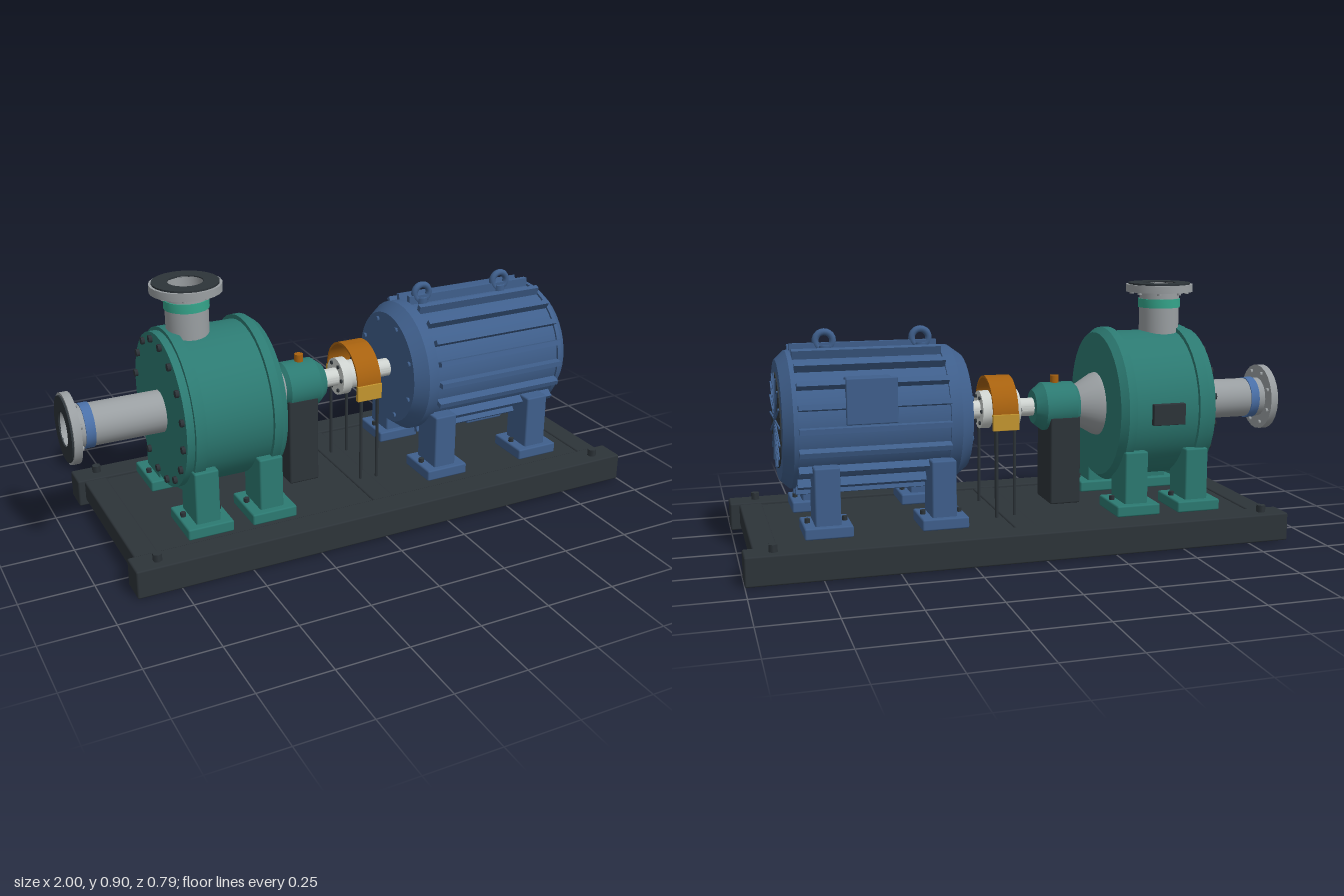
import * as THREE from 'three';
import { toCreasedNormals } from 'three/addons/utils/BufferGeometryUtils.js';
import { RoundedBoxGeometry } from 'three/addons/geometries/RoundedBoxGeometry.js';

const AXIS = 0.46; // height of the shaft line

export function createModel() {
  const root = new THREE.Group();
  root.name = 'pumpSet';
  const mat = (name, color) => {
    const m = new THREE.MeshStandardMaterial({ color });
    m.name = name;
    return m;
  };
  const teal = mat('pumpTeal', 0x2c7a72), blue = mat('motorBlue', 0x3f5f8c), dark = mat('darkSteel', 0x2d3439),
    grey = mat('pipeGrey', 0x9a9fa2), pale = mat('shaftSteel', 0xcdd2cf), orange = mat('guardOrange', 0xa8620f),
    yellow = mat('bracketYellow', 0xc4962f), mint = mat('bandGreen', 0x35a58b), bandBlue = mat('bandBlue', 0x4a70a8);

  const add = (name, geo, material, x = 0, y = 0, z = 0, parent = root) => {
    const m = new THREE.Mesh(geo, material);
    m.name = name;
    m.position.set(x, y, z);
    parent.add(m);
    return m;
  };
  // box given by its extents, with slightly softened edges
  const box = (name, material, [x0, x1], [y0, y1], [z0, z1], r = 0.006) =>
    add(name, new RoundedBoxGeometry(x1 - x0, y1 - y0, z1 - z0, 1, r), material,
      (x0 + x1) / 2, (y0 + y1) / 2, (z0 + z1) / 2);
  // turned part: profile pairs are [position along axis, radius]
  const turned = (profile, seg = 36) => toCreasedNormals(
    new THREE.LatheGeometry(profile.map(([a, r]) => new THREE.Vector2(r, a)), seg), 0.5);
  const alongX = (name, material, profile, seg) =>
    add(name, turned(profile, seg).rotateZ(-Math.PI / 2), material, 0, AXIS, 0);
  const rod = (a, b, r) => [[a, 0], [a, r], [b, r], [b, 0]];
  const ring = (a, b, r, hole) => [[a, hole], [a, r], [b, r], [b, hole], [a, hole]];
  // circle of bolts about the shaft line
  const boltCircle = (name, material, n, radius, x, len, r) => {
    for (let i = 0; i < n; i++) {
      const t = (i + 0.5) / n * Math.PI * 2;
      add(name, new THREE.CylinderGeometry(r, r, len, 6).rotateZ(Math.PI / 2), material,
        x, AXIS + radius * Math.cos(t), radius * Math.sin(t));
    }
  };

  // base frame
  for (const s of [-1, 1]) {
    box('baseRail', dark, [-0.9, 1], [0, 0.1], s > 0 ? [0.295, 0.395] : [-0.395, -0.295]);
    for (const x of [-0.815, 0.905])
      add('anchorBolt', new THREE.CylinderGeometry(0.016, 0.016, 0.025, 6), dark, x, 0.1125, s * 0.35);
  }
  for (const x of [-0.875, 0, 0.885])
    box('crossMember', dark, [x, x + 0.082], [0.02, 0.095], [-0.3, 0.3]);
  box('deckPlate', dark, [-0.8, 0.9], [0.076, 0.09], [-0.3, 0.3], 0.002);

  // feet for pump and motor
  const foot = (name, material, x, half, z0, z1, padZ, top) => {
    for (const s of [-1, 1]) {
      const zs = (a, b) => (s > 0 ? [a, b] : [-b, -a]);
      box(name + 'Pad', material, [x - 0.081, x + 0.081], [0.1, 0.14], zs(0.1, padZ));
      box(name + 'Pedestal', material, [x - half, x + half], [0.13, top], zs(z0, z1));
      for (const d of [-0.063, 0.063])
        add(name + 'Bolt', new THREE.CylinderGeometry(0.01, 0.01, 0.015, 6), dark, x + d, 0.147, s * 0.182);
    }
  };
  for (const x of [-0.603, -0.373]) foot('pumpFoot', teal, x, 0.043, 0.12, 0.26, 0.285, 0.325);
  for (const x of [0.319, 0.713]) foot('motorFoot', blue, x, 0.043, 0.12, 0.245, 0.265, 0.335);

  // pump casing
  alongX('pumpCasing', teal, [[-0.667, 0], [-0.667, 0.268], [-0.64, 0.268], [-0.64, 0.281], [-0.602, 0.281],
    [-0.602, 0.266], [-0.365, 0.266], [-0.365, 0.281], [-0.335, 0.281], [-0.31, 0.262], [-0.31, 0]], 40);
  boltCircle('casingBolt', dark, 16, 0.245, -0.67, 0.018, 0.013);
  box('casingPlate', dark, [-0.545, -0.425], [0.42, 0.495], [-0.283, -0.255], 0.002);
  alongX('adapterCone', grey, [[-0.315, 0], [-0.315, 0.117], [-0.295, 0.112], [-0.215, 0.065], [-0.215, 0]]);
  alongX('bearingHousing', teal, [[-0.232, 0], [-0.232, 0.07], [-0.215, 0.087], [-0.1, 0.087], [-0.066, 0.06], [-0.066, 0]]);
  add('oilCap', new THREE.CylinderGeometry(0.016, 0.016, 0.035, 12), orange, -0.15, 0.555, 0);
  box('bearingPedestal', dark, [-0.225, -0.112], [0.11, 0.43], [-0.081, 0.081]);

  // pipe with flange, flange face at the top of its own y axis
  const pipe = (name, length, bandAt, bandMaterial) => {
    const g = new THREE.Group();
    g.name = name;
    const part = (n, m, p) => add(n, turned(p, 24), m, 0, 0, 0, g);
    part(name + 'Tube', grey, ring(-length, -0.004, 0.073, 0.06));
    part(name + 'Flange', grey, ring(-0.033, -0.006, 0.122, 0.06));
    part(name + 'Gasket', dark, ring(-0.006, 0, 0.113, 0.06));
    part(name + 'Band', bandMaterial, ring(bandAt - 0.016, bandAt + 0.016, 0.077, 0.07));
    for (let i = 0; i < 8; i++) {
      const t = (i + 0.5) / 8 * Math.PI * 2;
      add(name + 'Bolt', new THREE.CylinderGeometry(0.008, 0.008, 0.012, 6), grey,
        0.1 * Math.cos(t), -0.036, 0.1 * Math.sin(t), g);
    }
    root.add(g);
    return g;
  };
  pipe('dischargePipe', 0.2, -0.074, mint).position.set(-0.555, 0.9, 0);
  const suction = pipe('suctionPipe', 0.34, -0.074, bandBlue);
  suction.position.set(-1, AXIS - 0.005, 0);
  suction.rotation.z = Math.PI / 2;

  // shaft and coupling
  alongX('shaft', pale, rod(-0.08, 0.23, 0.033), 24);
  alongX('coupling', pale, [[-0.005, 0], [-0.005, 0.068], [0.03, 0.068], [0.03, 0.052],
    [0.1, 0.052], [0.1, 0.068], [0.135, 0.068], [0.135, 0]], 24);
  for (const x of [-0.005, 0.135]) boltCircle('couplingBolt', dark, 6, 0.052, x, 0.012, 0.007);

  // coupling guard
  const arch = new THREE.Shape();
  arch.absarc(0, 0, 0.126, 0, Math.PI, false);
  arch.absarc(0, 0, 0.118, Math.PI, 0, true);
  add('couplingGuard', toCreasedNormals(new THREE.ExtrudeGeometry(arch,
    { depth: 0.092, bevelEnabled: false, curveSegments: 20 }), 0.5).rotateY(Math.PI / 2), orange, 0.022, AXIS - 0.005, 0);
  for (const s of [-1, 1]) {
    box('guardBracket', yellow, [0.02, 0.116], [0.402, 0.46], s > 0 ? [0.114, 0.13] : [-0.13, -0.114], 0.002);
    for (const x of [0.037, 0.102])
      add('guardLeg', new THREE.CylinderGeometry(0.006, 0.006, 0.33, 8), dark, x, 0.255, s * 0.122);
  }

  // motor body and cooling fins
  alongX('motorBody', blue, [[0.205, 0], [0.205, 0.205], [0.25, 0.238], [0.29, 0.238], [0.29, 0.23],
    [0.8, 0.23], [0.8, 0.238], [0.815, 0.238], [0.848, 0.207], [0.848, 0]], 40);
  boltCircle('motorEndBolt', blue, 8, 0.18, 0.204, 0.014, 0.01);
  for (let i = 0; i < 20; i++) {
    const t = i / 20 * Math.PI * 2;
    const fin = add('coolingFin', new THREE.BoxGeometry(0.51, 0.05, 0.018), blue,
      0.545, AXIS + 0.235 * Math.cos(t), 0.235 * Math.sin(t));
    fin.rotation.x = t;
  }
  // fan grille
  alongX('fanGrille', dark, rod(0.84, 0.852, 0.164), 36);
  for (let i = 0; i < 8; i++) {
    const bar = add('grilleBar', new THREE.BoxGeometry(0.008, 0.326, 0.006), blue, 0.853, AXIS, 0);
    bar.rotation.x = i / 8 * Math.PI;
  }
  // lifting eyes
  for (const x of [0.345, 0.68]) {
    add('liftingEye', new THREE.TorusGeometry(0.03, 0.012, 10, 20), blue, x, 0.727, 0);
    add('liftingEyeBase', new THREE.CylinderGeometry(0.022, 0.022, 0.03, 12), blue, x, 0.695, 0);
  }
  // terminal box
  box('terminalBox', blue, [0.485, 0.64], [0.485, 0.625], [-0.256, -0.16]);
  box('terminalBoxLid', blue, [0.477, 0.648], [0.478, 0.632], [-0.268, -0.254], 0.004);
  return root;
}
